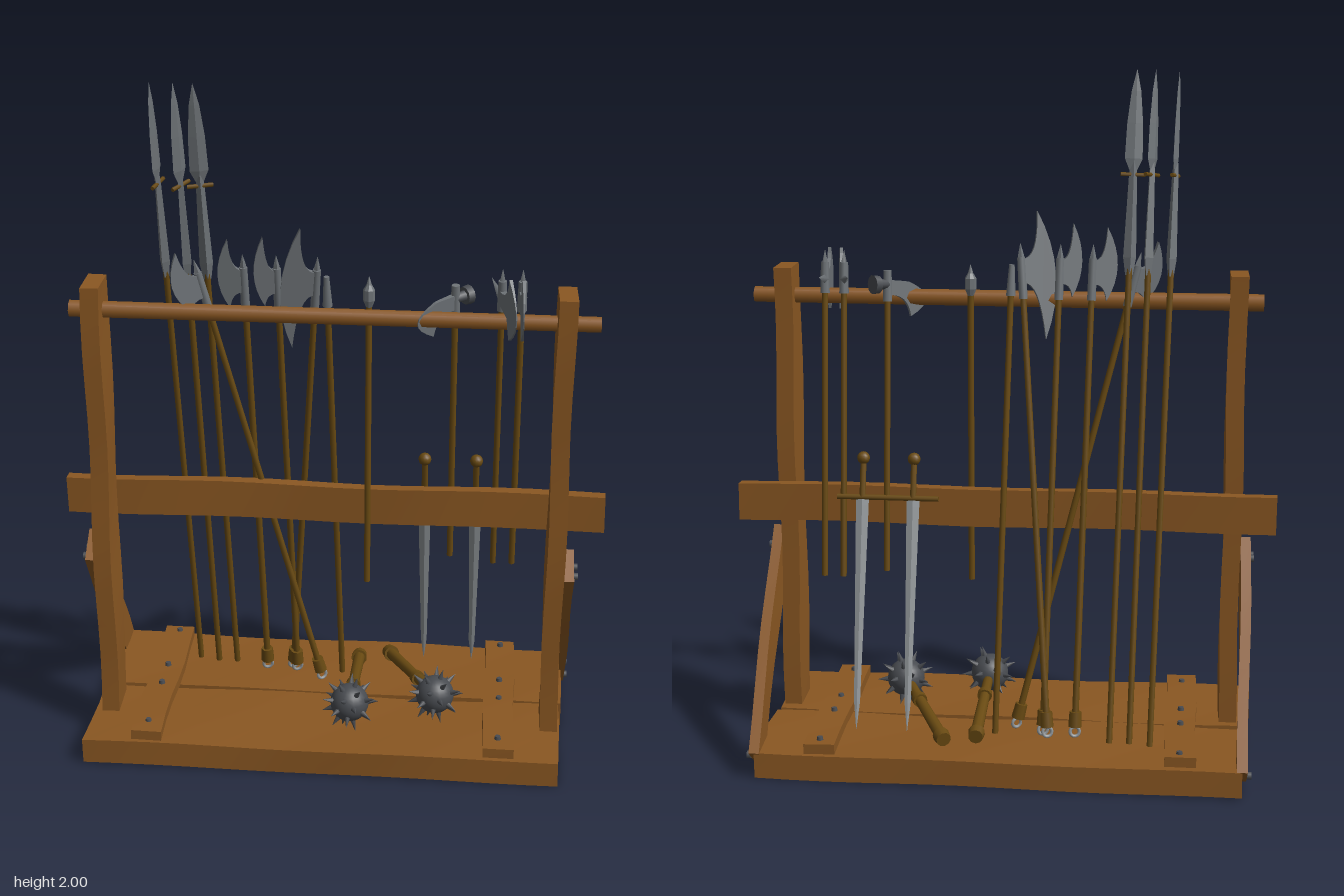
import * as THREE from 'three';

const mat = (name, hex) => {
  const m = new THREE.MeshStandardMaterial({ color: hex });
  m.name = name;
  return m;
};
const V = (x, y, z) => new THREE.Vector3(x, y, z);
const UP = V(0, 1, 0);

export function createModel() {
  const root = new THREE.Group();
  root.name = 'weaponRack';
  const wood = mat('timber', 0x8a5722);
  const shaftWood = mat('shaftWood', 0x694a12);
  const steel = mat('steel', 0x6e7377);
  const bright = mat('brightSteel', 0x92979a);
  const iron = mat('darkIron', 0x484b50);

  const add = (parent, name, geo, material, x = 0, y = 0, z = 0) => {
    const m = new THREE.Mesh(geo, material);
    m.name = name;
    m.position.set(x, y, z);
    parent.add(m);
    return m;
  };
  const faceted = (geo) => {
    const g = geo.index ? geo.toNonIndexed() : geo;
    g.computeVertexNormals();
    return g;
  };
  // Hand-hewn board: a box whose surface wanders a little along its length
  const board = (name, w, h, d, x, y, z, seed = 0, parent = root) => {
    const seg = (s) => Math.max(1, Math.min(14, Math.round(s / 0.1)));
    const g = new THREE.BoxGeometry(w, h, d, seg(w), seg(h), seg(d));
    const p = g.attributes.position;
    for (let i = 0; i < p.count; i++) {
      const a = p.getX(i), b = p.getY(i), c = p.getZ(i);
      const k = 0.003;
      p.setXYZ(i,
        a + k * Math.sin(9 * b + 14 * c + seed),
        b + k * Math.sin(8 * a + 11 * c + seed * 2),
        c + k * Math.sin(7 * a + 9 * b + seed * 3));
    }
    g.computeVertexNormals();
    return add(parent, name, g, wood, x, y, z);
  };
  // Round bar between two points
  const bar = (parent, name, a, b, r0, r1, material, sides = 8) => {
    const m = add(parent, name, new THREE.CylinderGeometry(r1, r0, a.distanceTo(b), sides), material);
    m.position.copy(a).add(b).multiplyScalar(0.5);
    m.quaternion.setFromUnitVectors(UP, b.clone().sub(a).normalize());
    return m;
  };
  // Group at foot, local +y running to the top, turned about its own shaft
  const leaning = (name, foot, top, yawDeg) => {
    const g = new THREE.Group();
    g.name = name;
    g.position.copy(foot);
    g.quaternion.setFromUnitVectors(UP, top.clone().sub(foot).normalize());
    g.rotateY(THREE.MathUtils.degToRad(yawDeg));
    root.add(g);
    return g;
  };
  // Four-sided flattened lathe, for blades and points
  const diamond = (pts, flat) => faceted(
    new THREE.LatheGeometry(pts.map(([r, y]) => new THREE.Vector2(r, y)), 4, Math.PI / 2).scale(1, 1, flat));

  // Base boards and cleats
  for (const [i, s] of [-1, 1].entries()) {
    board('baseBoard', 1.4, 0.076, 0.325, -0.01 - s * 0.005, 0.041, s * 0.17, i + 1);
  }
  for (const x of [-0.53, 0.505]) {
    board('cleat', 0.09, 0.03, 0.64, x, 0.096, 0, x * 7);
    for (const z of [-0.29, -0.07, 0.04, 0.265])
      add(root, 'nail', new THREE.CylinderGeometry(0.008, 0.01, 0.01, 8), iron, x, 0.116, z);
  }

  // Posts, braces and their bolts
  for (const s of [-1, 1]) {
    const x = s < 0 ? -0.667 : 0.652;
    board('post', 0.052, 1.35, 0.125, x, 0.755, 0.1, s);
    const bx = x + s * 0.042;
    const brace = board('brace', 0.03, 0.7, 0.105, bx, 0.332, -0.088, s * 2);
    brace.rotation.x = 0.63;
    for (const [z, y] of [[0.12, 0.58], [0.07, 0.585], [-0.255, 0.04], [-0.3, 0.06]]) {
      const bolt = add(root, 'bolt', new THREE.CylinderGeometry(0.011, 0.011, 0.012, 8), iron, bx + s * 0.019, y, z);
      bolt.rotation.z = Math.PI / 2;
    }
  }

  // Top rail and middle rail
  bar(root, 'topRail', V(-0.74, 1.345, 0.097), V(0.747, 1.345, 0.097), 0.025, 0.023, wood);
  board('middleRail', 1.585, 0.112, 0.034, -0.003, 0.738, 0.015, 2);

  // Spears
  for (const [tx, tz, fx, fz, yaw] of [[-0.485, 0.125, -0.443, -0.18, 75], [-0.418, 0.14, -0.383, -0.167, 60], [-0.365, 0.14, -0.325, -0.167, 15]]) {
    const foot = V(fx, 0.085, fz), top = V(tx, 2, tz);
    const g = leaning('spear', foot, top, yaw), L = foot.distanceTo(top);
    bar(g, 'spearShaft', V(0, 0, 0), V(0, L - 0.5, 0), 0.009, 0.009, shaftWood);
    add(g, 'spearSocket', diamond([[0.011, L - 0.58], [0.019, L - 0.53], [0.012, L - 0.3], [0.008, L - 0.25]], 0.8), steel);
    add(g, 'spearBlade', diamond([[0.008, L - 0.29], [0.026, L - 0.25], [0.023, L - 0.15], [0.014, L - 0.06], [0.0005, L]], 0.3), steel);
    bar(g, 'spearCrossbar', V(-0.036, L - 0.295, 0), V(0.036, L - 0.295, 0), 0.006, 0.006, shaftWood, 6);
  }

  // Axe blade reaching to -x, thinning toward its cutting edge
  const axeBlade = (reach, up, down, neck) => {
    const s = new THREE.Shape();
    s.moveTo(0, neck);
    s.quadraticCurveTo(-reach * 0.5, neck * 0.8, -reach * 0.55, up);
    s.quadraticCurveTo(-reach * 1.45, (up - down) * 0.45, -reach * 0.6, -down);
    s.quadraticCurveTo(-reach * 0.5, -neck * 0.8, 0, -neck);
    s.closePath();
    const g = new THREE.ExtrudeGeometry(s, { depth: 1, bevelEnabled: false, curveSegments: 8 });
    const p = g.attributes.position;
    for (let i = 0; i < p.count; i++) {
      const t = Math.min(1, -p.getX(i) / reach);
      p.setZ(i, (p.getZ(i) - 0.5) * (0.018 - 0.015 * t));
    }
    return faceted(g);
  };

  // Pole axes, with a collar and ring at the foot
  const poleAxes = [
    { foot: V(-0.046, 0.1, -0.08), top: V(-0.385, 1.48, 0.07), yaw: 35, reach: 0.085, up: 0.12, down: 0.06 },
    { foot: V(-0.222, 0.1, -0.13), top: V(-0.25, 1.5, 0.07), yaw: 15, reach: 0.072, up: 0.13, down: 0.08 },
    { foot: V(-0.128, 0.1, -0.125), top: V(-0.156, 1.5, 0.07), yaw: 20, reach: 0.065, up: 0.14, down: 0.07 },
    { foot: V(-0.142, 0.1, -0.14), top: V(-0.04, 1.5, 0.075), yaw: 20, reach: 0.1, up: 0.17, down: 0.2 },
  ];
  for (const a of poleAxes) {
    const g = leaning('poleAxe', a.foot, a.top, a.yaw), L = a.foot.distanceTo(a.top);
    bar(g, 'poleAxeShaft', V(0, 0.02, 0), V(0, L - 0.04, 0), 0.01, 0.009, shaftWood);
    bar(g, 'footCollar', V(0, 0.015, 0), V(0, 0.06, 0), 0.02, 0.018, shaftWood);
    add(g, 'footRing', new THREE.TorusGeometry(0.014, 0.005, 6, 14), bright);
    add(g, 'poleAxeSocket', new THREE.CylinderGeometry(0.012, 0.013, 0.12, 8), steel, 0, L - 0.09, 0);
    add(g, 'topSpike', diamond([[0.012, L - 0.04], [0.008, L - 0.02], [0.0005, L + 0.01]], 0.8), steel);
    add(g, 'poleAxeBlade', axeBlade(a.reach, a.up, a.down, 0.035), steel, 0, L - 0.07, 0);
  }

  // Slim pole beside them
  bar(root, 'slimPoleShaft', V(0.013, 0.085, -0.13), V(-0.014, 1.37, 0.055), 0.009, 0.009, shaftWood);
  bar(root, 'slimPoleHead', V(-0.014, 1.36, 0.054), V(-0.016, 1.45, 0.066), 0.014, 0.008, steel);

  // Short flanged club hanging straight down
  bar(root, 'clubShaft', V(0.102, 0.5, 0.05), V(0.102, 1.38, 0.05), 0.009, 0.009, shaftWood);
  add(root, 'clubHead', faceted(new THREE.LatheGeometry(
    [[0.009, 0], [0.017, 0.02], [0.017, 0.05], [0.008, 0.065], [0.0005, 0.09]].map(([r, y]) => new THREE.Vector2(r, y)), 8)),
    steel, 0.102, 1.36, 0.05);

  // Hammer axe and two spiked hand axes
  const handAxes = [
    { foot: V(0.343, 0.55, -0.045), top: V(0.343, 1.42, 0.045), yaw: 40, reach: 0.13, up: 0.015, down: 0.085, hammer: true },
    { foot: V(0.472, 0.53, -0.05), top: V(0.472, 1.44, 0.055), yaw: 106, reach: 0.15, up: 0.09, down: 0.09 },
    { foot: V(0.528, 0.53, -0.05), top: V(0.528, 1.44, 0.055), yaw: 92, reach: 0.15, up: 0.09, down: 0.09 },
  ];
  for (const a of handAxes) {
    const g = leaning('handAxe', a.foot, a.top, a.yaw), L = a.foot.distanceTo(a.top);
    bar(g, 'handAxeShaft', V(0, 0, 0), V(0, L - 0.02, 0), 0.009, 0.009, shaftWood);
    add(g, 'handAxeSocket', new THREE.CylinderGeometry(0.012, 0.014, 0.09, 8), steel, 0, L - 0.035, 0);
    add(g, 'handAxeBlade', axeBlade(a.reach, a.up, a.down, 0.022), steel, 0, L - 0.04, 0);
    if (a.hammer) {
      bar(g, 'hammerNeck', V(0, L - 0.03, 0), V(0.035, L - 0.03, 0), 0.014, 0.016, iron);
      bar(g, 'hammerFace', V(0.03, L - 0.03, 0), V(0.05, L - 0.03, 0), 0.026, 0.028, iron, 10);
    } else {
      bar(g, 'backSpike', V(0, L - 0.04, 0), V(0.11, L - 0.03, 0), 0.014, 0.0005, steel, 4);
      bar(g, 'tipSpike', V(0, L, 0), V(0, L + 0.045, 0), 0.01, 0.0005, steel, 4);
    }
  }

  // Swords, point down behind the middle rail
  for (const x of [0.265, 0.415]) {
    const tip = V(x, 0.11, -0.2), pommel = V(x, 0.88, 0.0);
    const g = leaning('sword', tip, pommel, 0), L = tip.distanceTo(pommel);
    add(g, 'swordBlade', diamond([[0.0005, 0], [0.009, 0.08], [0.019, L - 0.14], [0.019, L - 0.12]], 0.25), bright);
    bar(g, 'swordGuard', V(-0.075, L - 0.115, 0), V(0.075, L - 0.115, 0), 0.008, 0.008, shaftWood);
    bar(g, 'swordGrip', V(0, L - 0.115, 0), V(0, L, 0), 0.009, 0.009, shaftWood);
    add(g, 'swordPommel', new THREE.SphereGeometry(0.019, 12, 8), shaftWood, 0, L, 0);
  }

  // Spiked maces lying on the base
  const N = 26;
  for (const [ball, end] of [[V(0.062, 0.157, 0.175), V(0.062, 0.105, -0.2)], [V(0.313, 0.157, 0.105), V(0.155, 0.105, -0.23)]]) {
    const along = end.clone().sub(ball).normalize();
    const at = (d) => ball.clone().addScaledVector(along, d);
    const len = ball.distanceTo(end);
    bar(root, 'maceHandle', at(0.05), end, 0.015, 0.018, shaftWood, 10);
    bar(root, 'maceCollar', at(0.13), at(0.15), 0.022, 0.022, shaftWood, 10);
    bar(root, 'macePommel', at(len - 0.02), at(len + 0.008), 0.025, 0.022, shaftWood, 10);
    add(root, 'maceBall', new THREE.SphereGeometry(0.057, 20, 14), iron, ball.x, ball.y, ball.z);
    for (let i = 0; i < N; i++) {
      const y = 1 - (2 * i + 1) / N, r = Math.sqrt(1 - y * y), t = i * 2.39996;
      const dir = V(r * Math.cos(t), y, r * Math.sin(t));
      if (dir.dot(along) > 0.9) continue;
      bar(root, 'maceSpike', ball.clone().addScaledVector(dir, 0.05), ball.clone().addScaledVector(dir, 0.086), 0.01, 0.0005, iron, 6);
    }
  }
  return root;
}
